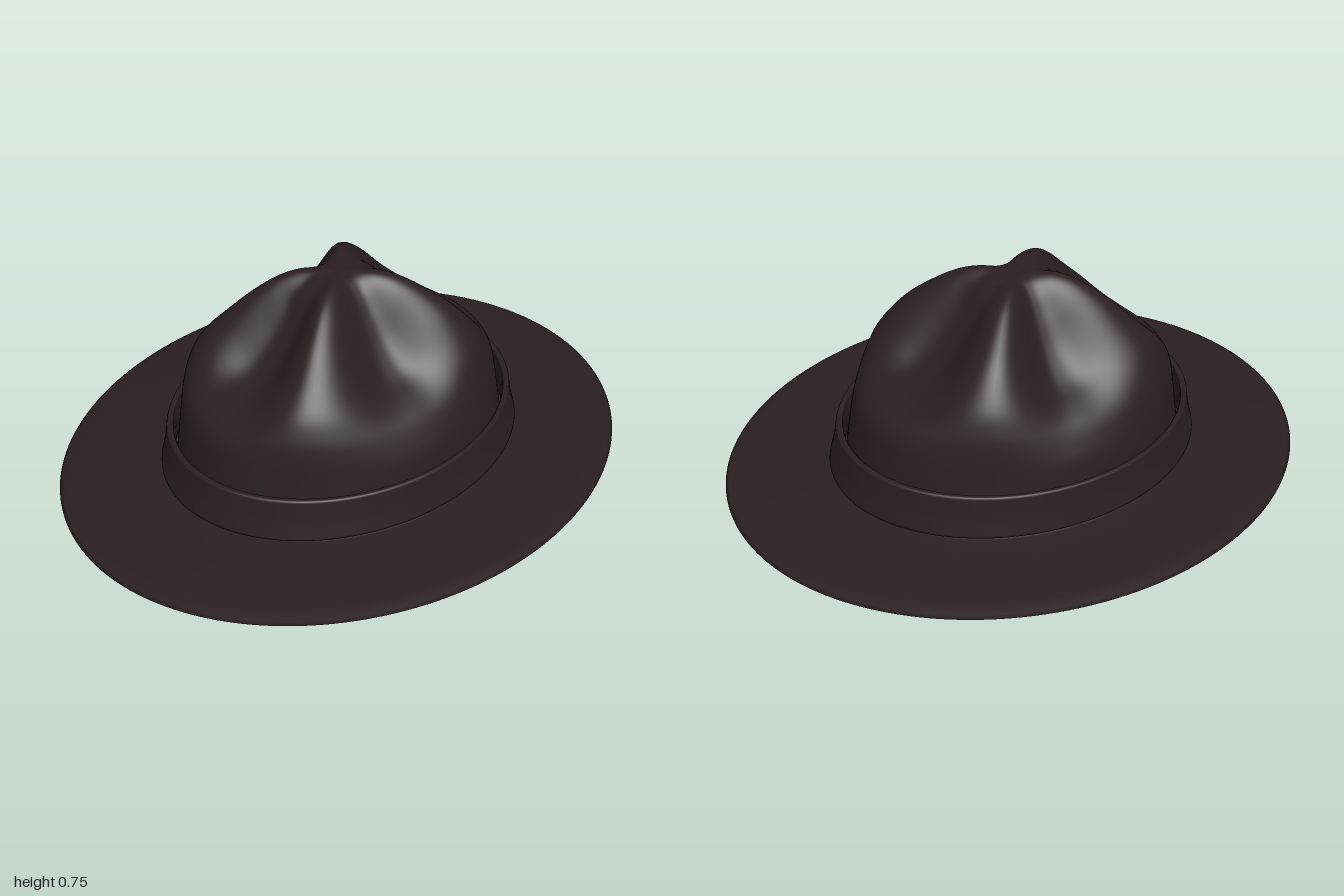
import * as THREE from 'three';
import { mergeVertices } from 'three/addons/utils/BufferGeometryUtils.js';

const HALF_X = 0.47, HALF_Z = 0.57; // crown ellipse at the band
const SEGMENTS = 160;
const { lerp, degToRad } = THREE.MathUtils;

// Lathe whose vertices are moved by rule(p, angle, row), with seam-free smooth normals
function shapedLathe(points, rule) {
  const geo = new THREE.LatheGeometry(points, SEGMENTS);
  const pos = geo.attributes.position;
  const rows = points.length;
  const out = new THREE.Vector3();
  for (let i = 0; i < pos.count; i++) {
    const angle = (Math.floor(i / rows) % SEGMENTS) / SEGMENTS * Math.PI * 2;
    rule(out, angle, i % rows);
    pos.setXYZ(i, out.x, out.y, out.z);
  }
  geo.deleteAttribute('uv');
  geo.deleteAttribute('normal');
  const merged = mergeVertices(geo, 1e-5);
  merged.computeVertexNormals();
  return merged;
}

const toPoints = (list) => list.map(([a, b]) => new THREE.Vector2(a, b));

// Closed elliptical ring; profile is [distance outside the crown, height]
function ellipseRing(profile, zRatio) {
  const pts = toPoints([...profile, profile[0]]);
  return shapedLathe(pts, (p, angle, row) => {
    const d = pts[row].x;
    p.set((HALF_X + d) * Math.sin(angle), pts[row].y, (HALF_Z + d * zRatio) * Math.cos(angle));
  });
}

// 1 on the four diagonal ridges, 0 in the front, back and side pinches
function ridgeWeight(x, z) {
  const phi = Math.atan2(Math.abs(z), Math.abs(x));
  const ridgeAngle = degToRad(z > 0 ? 53 : x > 0 ? 46 : 42);
  const u = phi < ridgeAngle
    ? 0.5 * phi / ridgeAngle
    : 0.5 + 0.5 * (phi - ridgeAngle) / (Math.PI / 2 - ridgeAngle);
  return Math.max(0, Math.sin(Math.PI * u)) ** 2.6;
}

// Crown blended between ridge and pinch profiles, each [scale, height]
function crownGeometry() {
  const rows = 66;
  const skirt = [[1.055, 0.06], [1.04, 0.09], [1.03, 0.13], [0.995, 0.27]];
  const sample = (upper) => new THREE.SplineCurve(toPoints([...skirt, ...upper])).getPoints(rows);
  const backRidge = sample([
    [0.97, 0.36], [0.94, 0.43], [0.88, 0.505], [0.74, 0.6], [0.58, 0.665],
    [0.4, 0.72], [0.25, 0.744], [0.12, 0.746], [0, 0.744],
  ]);
  const frontRidge = sample([
    [0.975, 0.36], [0.94, 0.43], [0.86, 0.505], [0.67, 0.6], [0.52, 0.67],
    [0.38, 0.72], [0.25, 0.745], [0.12, 0.747], [0, 0.744],
  ]);
  const endPinch = sample([
    [0.965, 0.345], [0.9, 0.395], [0.77, 0.435], [0.59, 0.475], [0.45, 0.545],
    [0.33, 0.63], [0.25, 0.7], [0.15, 0.738], [0, 0.744],
  ]);
  const sidePinch = sample([
    [0.945, 0.335], [0.87, 0.39], [0.76, 0.43], [0.59, 0.475], [0.44, 0.545],
    [0.32, 0.63], [0.22, 0.7], [0.13, 0.738], [0, 0.744],
  ]);
  return shapedLathe(backRidge, (p, angle, row) => {
    const x = HALF_X * Math.sin(angle), z = HALF_Z * Math.cos(angle);
    const w = ridgeWeight(x, z);
    const toFront = 0.5 + 0.5 * Math.cos(angle);
    const toSide = Math.sin(angle) ** 2;
    const blend = (axis) => lerp(
      lerp(endPinch[row][axis], sidePinch[row][axis], toSide),
      lerp(backRidge[row][axis], frontRidge[row][axis], toFront), w);
    const s = blend('x');
    p.set(x * s, blend('y'), z * s);
  });
}

export function createModel() {
  const felt = new THREE.MeshStandardMaterial({ color: 0x2a1f1f, side: THREE.DoubleSide });
  felt.name = 'dark brown felt';
  const hat = new THREE.Group();
  hat.name = 'campaignHat';

  const add = (name, geometry) => {
    const mesh = new THREE.Mesh(geometry, felt);
    mesh.name = name;
    hat.add(mesh);
  };

  add('crown', crownGeometry());

  // Wide stiff brim, thin at the edge, its underside rising into the crown
  add('brim', ellipseRing([
    [0.026, 0.061], [0.035, 0.045], [0.06, 0.026], [0.11, 0.017], [0.22, 0.022], [0.32, 0.035],
    [0.368, 0.044], [0.379, 0.051], [0.368, 0.059], [0.32, 0.065], [0.15, 0.074], [0.05, 0.081],
    [0.03, 0.088], [0.02, 0.1], [0.021, 0.08],
  ], 1.135));

  // Band standing slightly clear of the crown
  add('hatBand', ellipseRing([
    [0.025, 0.097], [0.05, 0.094], [0.057, 0.098], [0.056, 0.106], [0.05, 0.135], [0.043, 0.175],
    [0.037, 0.232], [0.035, 0.238], [0.031, 0.24], [0.022, 0.239], [0.019, 0.234], [0.02, 0.175],
  ], 1.36));

  // Slight overall lean
  hat.rotation.set(-0.0075, 0, 0.03);
  const model = new THREE.Group();
  model.name = 'hat';
  model.add(hat);
  return model;
}
